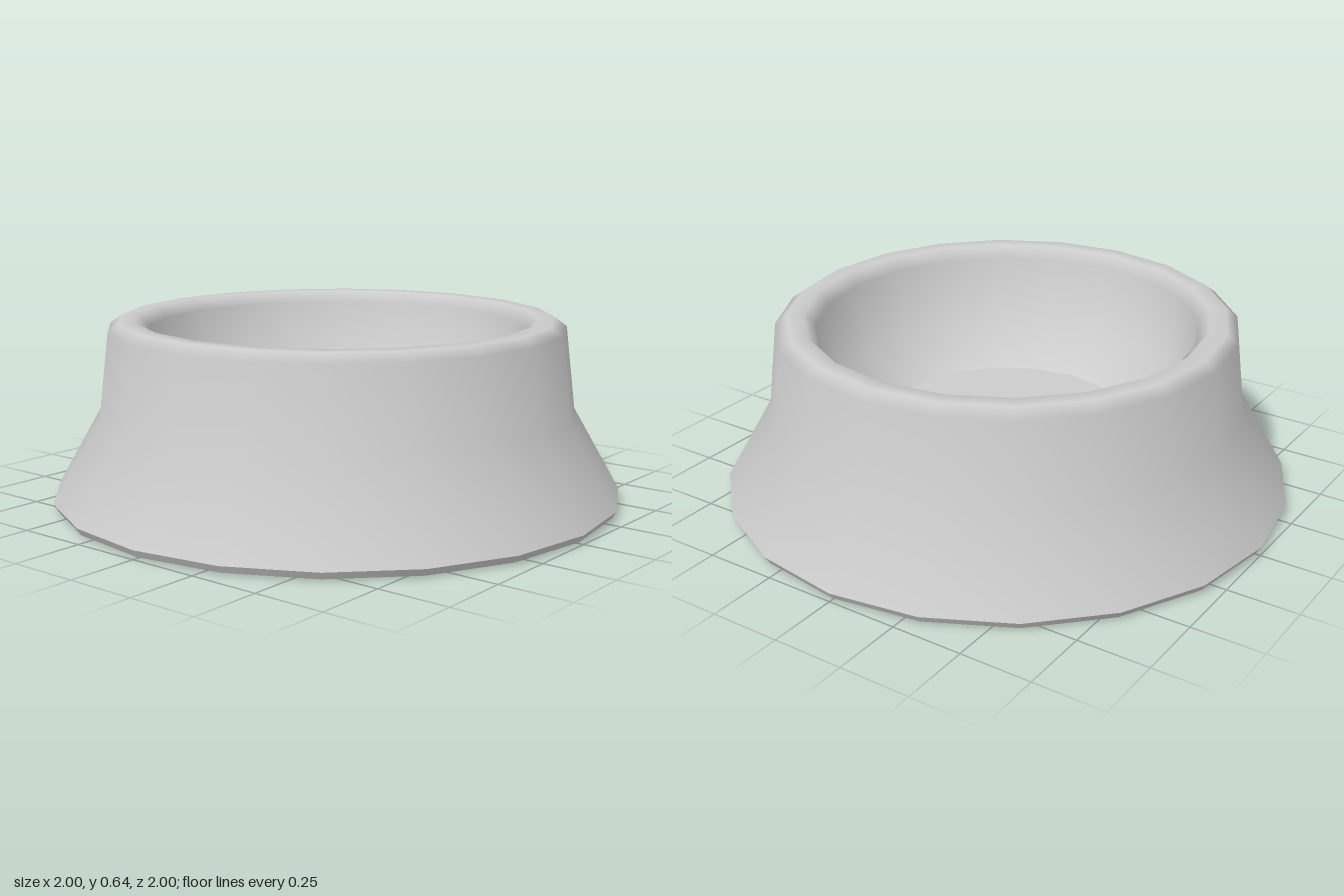
import * as THREE from 'three';

const SIDES = 20;
const material = new THREE.MeshStandardMaterial({ color: 0xcccccc });

// Revolve a profile of [radius, height] pairs; each part is smooth inside, creased at its ends
function revolve(name, profile) {
  const points = profile.map(([r, y]) => new THREE.Vector2(r, y));
  const mesh = new THREE.Mesh(new THREE.LatheGeometry(points, SIDES), material);
  mesh.name = name;
  return mesh;
}

// Flat disc with the same sides, facing up or down
function disc(name, radius, y, facing) {
  const mesh = new THREE.Mesh(new THREE.CircleGeometry(radius, SIDES), material);
  mesh.rotation.x = -facing * Math.PI / 2;
  mesh.position.y = y;
  mesh.name = name;
  return mesh;
}

export function createModel() {
  const bowl = new THREE.Group();
  bowl.name = 'bowl';
  bowl.add(
    // Flared skirt, rounded rim and inner wall in one smooth sweep
    revolve('bowlBody', [
      [1, 0.03], [0.835, 0.32], [0.8, 0.61], [0.76, 0.64],
      [0.7, 0.64], [0.66, 0.6], [0.62, 0.35], [0.43, 0.24],
    ]),
    disc('bowlFloor', 0.43, 0.24, 1),
    // Foot edge
    revolve('footBevel', [[0.985, 0.005], [1, 0.03]]),
    revolve('footRing', [[0.967, 0], [0.985, 0.005]]),
    // Hollow underside
    revolve('undersideWall', [[0.74, 0.155], [0.967, 0]]),
    disc('undersidePanel', 0.74, 0.155, -1),
  );
  return bowl;
}
